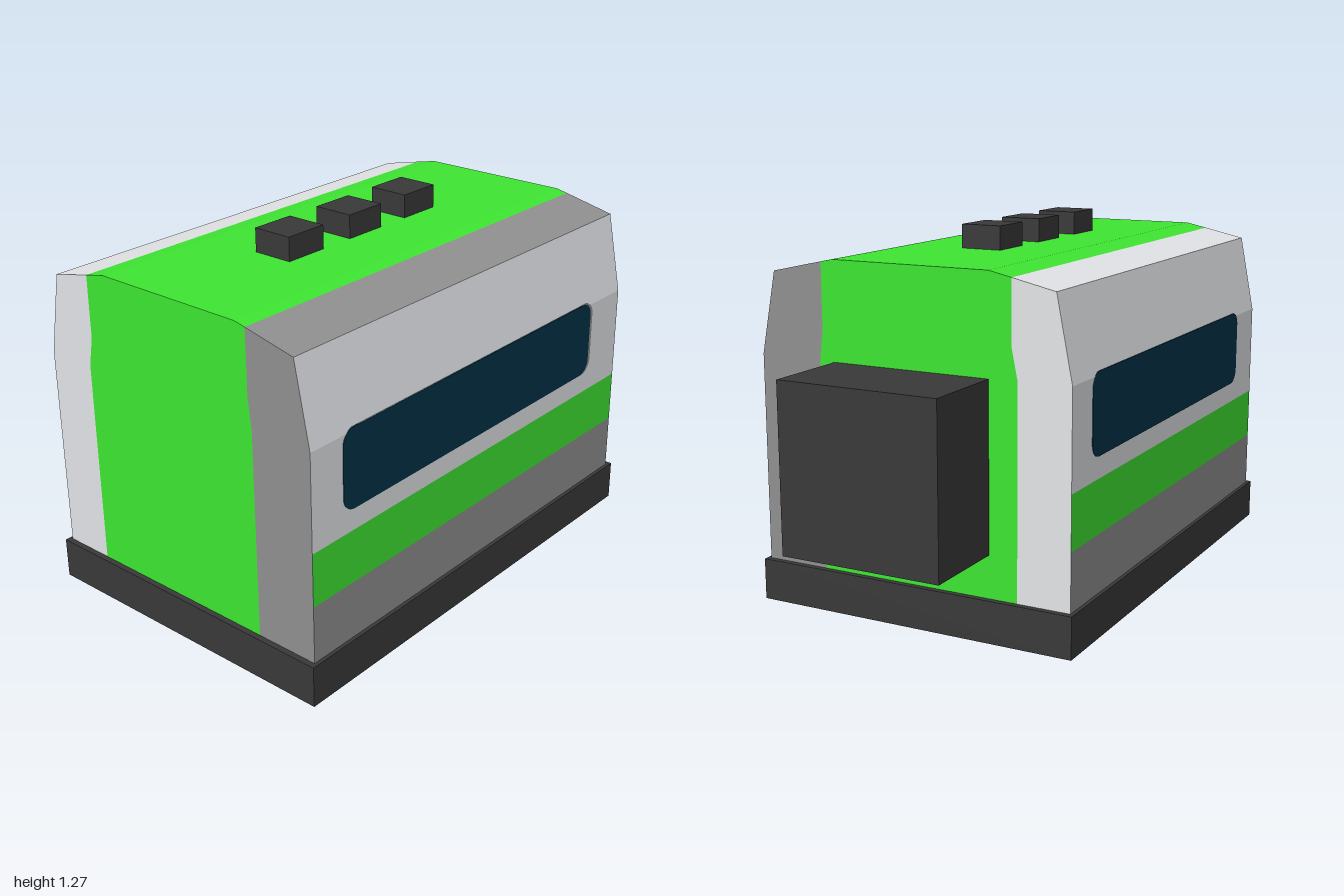
import * as THREE from 'three';

const BACK = -0.69, FRONT = 0.98;

function material(name, color) {
  const m = new THREE.MeshStandardMaterial({ color });
  m.name = name;
  return m;
}

// Rounded rectangle from u0..u1, v0..v1
function roundedRect(u0, u1, v0, v1, r) {
  const s = new THREE.Shape();
  s.absarc(u1 - r, v0 + r, r, -Math.PI / 2, 0);
  s.absarc(u1 - r, v1 - r, r, 0, Math.PI / 2);
  s.absarc(u0 + r, v1 - r, r, Math.PI / 2, Math.PI);
  s.absarc(u0 + r, v0 + r, r, Math.PI, Math.PI * 1.5);
  s.closePath();
  return s;
}

export function createModel() {
  const model = new THREE.Group();
  model.name = 'toaster';
  const green = material('green', 0x3ee632);
  const light = material('lightGrey', 0xe4e6e9);
  const grey = material('midGrey', 0x909091);
  const dark = material('charcoal', 0x393939);
  const navy = material('navyGlass', 0x003249);

  function add(name, geometry, mat, parent = model) {
    const mesh = new THREE.Mesh(geometry, mat);
    mesh.name = name;
    parent.add(mesh);
    return mesh;
  }

  function box(name, x0, x1, y0, y1, z0, z1, mat) {
    const g = new THREE.BoxGeometry(x1 - x0, y1 - y0, z1 - z0);
    g.translate((x0 + x1) / 2, (y0 + y1) / 2, (z0 + z1) / 2);
    return add(name, g, mat);
  }

  const body = new THREE.Group();
  body.name = 'body';
  model.add(body);

  // Skin swept along z over an anticlockwise run of section points
  function skin(name, pts, mat) {
    const pos = [];
    for (let i = 0; i < pts.length - 1; i++) {
      const [ax, ay] = pts[i], [bx, by] = pts[i + 1];
      pos.push(ax, ay, FRONT, ax, ay, BACK, bx, by, BACK);
      pos.push(ax, ay, FRONT, bx, by, BACK, bx, by, FRONT);
    }
    const g = new THREE.BufferGeometry();
    g.setAttribute('position', new THREE.Float32BufferAttribute(pos, 3));
    g.computeVertexNormals();
    add(name, g, mat, body);
  }

  // Matching flat panels on the front and back ends
  function endPanels(name, pts, mat) {
    const shape = (s) => new THREE.Shape(pts.map(([x, y]) => new THREE.Vector2(s * x, y)));
    add(name + 'Front', new THREE.ShapeGeometry(shape(1)).translate(0, 0, FRONT), mat, body);
    add(name + 'Back', new THREE.ShapeGeometry(shape(-1)).rotateY(Math.PI).translate(0, 0, BACK), mat, body);
  }

  // Colour seams where the central stripe meets each flank
  const seamL = [[0.34, 0], [0.34, 0.86], [0.328, 0.96], [0.328, 1.181]];
  const seamR = [[-0.365, 1.173], [-0.365, 0.96], [-0.385, 0.86], [-0.385, 0]];

  endPanels('stripeEnd', [...seamL, [0.285, 1.19], [-0.285, 1.19], ...seamR], green);
  endPanels('leftEnd', [[0.57, 0], [0.57, 0.86], [0.515, 1.14], ...[...seamL].reverse()], grey);
  endPanels('rightEnd', [[-0.57, 0], ...[...seamR].reverse(), [-0.515, 1.14], [-0.57, 0.86]], light);

  skin('roofStripe', [[0.328, 1.181], [0.285, 1.19], [-0.285, 1.19], [-0.365, 1.173]], green);
  skin('roofLeft', [[0.515, 1.14], [0.328, 1.181]], grey);
  skin('roofRight', [[-0.365, 1.173], [-0.515, 1.14]], light);
  skin('floorRight', [[-0.57, 0], [-0.385, 0]], light);
  skin('floorStripe', [[-0.385, 0], [0.34, 0]], green);
  skin('floorLeft', [[0.34, 0], [0.57, 0]], grey);

  // Side walls: grey skirt, green band, light upper wall
  for (const s of [1, -1]) {
    const side = s > 0 ? 'left' : 'right';
    const run = (pts) => (s > 0 ? pts : pts.map(([x, y]) => [-x, y]).reverse());
    skin(side + 'Skirt', run([[0.57, 0], [0.57, 0.342]]), grey);
    skin(side + 'Band', run([[0.57, 0.342], [0.57, 0.526]]), green);
    skin(side + 'UpperWall', run([[0.57, 0.526], [0.57, 0.86], [0.515, 1.14]]), light);
  }

  // Window plates, almost flush with each side
  function windowPlate(name, s, u0, u1, outer, mat) {
    const g = new THREE.ExtrudeGeometry(roundedRect(u0, u1, 0.6, 0.873, 0.05),
      { depth: 0.006, bevelEnabled: false, curveSegments: 6 });
    g.translate(0, 0, outer - 0.006).rotateY(s * Math.PI / 2);
    add(name, g, mat);
  }
  windowPlate('leftWindow', 1, -0.84, 0.502, 0.572, navy);
  windowPlate('leftWindowRim', 1, -0.82, 0.516, 0.571, grey);
  windowPlate('rightWindow', -1, -0.545, 0.795, 0.572, navy);

  // Base frame around the foot of the body
  const outline = (x, z0, z1) => [[-x, z0], [x, z0], [x, z1], [-x, z1]]
    .map(([a, b]) => new THREE.Vector2(a, -b));
  const frame = new THREE.Shape(outline(0.583, 1, -0.71));
  frame.holes.push(new THREE.Path(outline(0.57, FRONT, BACK)));
  const frameGeo = new THREE.ExtrudeGeometry(frame, { depth: 0.143, bevelEnabled: false });
  add('baseFrame', frameGeo.rotateX(-Math.PI / 2), dark);

  // Rear housing and the three roof blocks
  box('rearHousing', -0.285, 0.285, 0.288, 0.855, -1, BACK, dark);
  for (const z of [0.439, 0.147, -0.141]) {
    box('roofBlock', -0.075, 0.072, 1.185, 1.272, z - 0.081, z + 0.081, dark);
  }

  return model;
}
